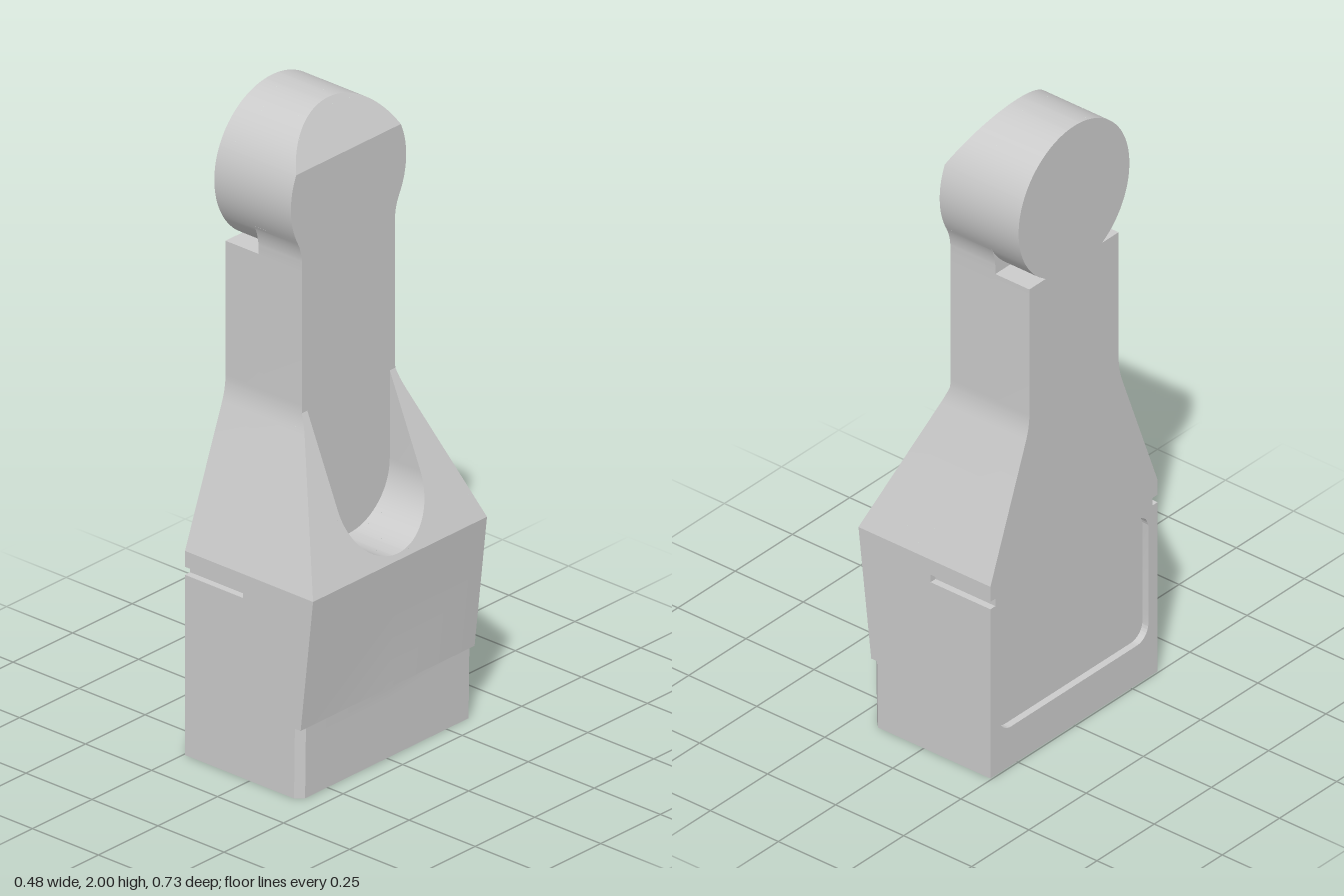
import * as THREE from 'three';
import { toCreasedNormals } from 'three/addons/utils/BufferGeometryUtils.js';

const BACK = -0.245, FACE = 0.045;          // rear plane, neck front plane
const HEAD = { y: 1.758, r: 0.242 };        // round head
const FIL = { y: 1.57, r: 0.157, w: 0.195 };// concave fillet between neck and head
const FIL_END = 1.644;
const CH = { y: 0.83, r: 0.173, top: 1.105 }; // round-bottomed channel
const REC = { y0: 0.13, y1: 0.55, w: 0.325, r: 0.05, depth: 0.022 }; // rear panel

const root = (v) => Math.sqrt(Math.max(0, v));
const inside = (y, a, b) => y > a && y < b;
const headWidth = (y) => root(HEAD.r ** 2 - (y - HEAD.y) ** 2);

// half width of the side outline at a height
function halfWidth(y) {
  if (y < 0.64) return 0.365;
  if (y < 1.05) return 0.365 - 0.378 * (y - 0.64);
  if (y < 1.13) return 0.195 + 2.3625 * (1.13 - y) ** 2;
  if (y < FIL.y) return FIL.w;
  if (y < FIL_END) return FIL.w + FIL.r - root(FIL.r ** 2 - (y - FIL.y) ** 2);
  return headWidth(y);
}

// front surface position at a height
const FRONT = [[0, 0.19], [0.22, 0.193], [0.64, 0.24], [1.105, FACE], [1.86, FACE], [2, -0.032]];
function front(y) {
  for (let i = 1; i < FRONT.length; i++) {
    const [ya, xa] = FRONT[i - 1], [yb, xb] = FRONT[i];
    if (y <= yb) return xa + (xb - xa) * (y - ya) / (yb - ya);
  }
  return -0.032;
}

// closed horizontal section: half ring from rear centre to front centre, then its mirror
function section(y) {
  const w = halfWidth(y), f = front(y);
  const chamfer = y < 0.22 ? 0.022 : 0;

  // side slots and the notches under the head
  let slotX = -0.12, wb = w;
  if (inside(y, 0.565, 0.59)) { slotX = -0.025; wb = w - 0.022; }
  else if (inside(y, 1.55, FIL_END)) wb = Math.min(w, headWidth(y));

  // rear panel with rounded corners
  let panelX = BACK, panelW = 0;
  if (inside(y, REC.y0, REC.y1)) {
    const d = Math.max(0, REC.r - Math.min(y - REC.y0, REC.y1 - y));
    panelX = BACK + REC.depth;
    panelW = REC.w - REC.r + root(REC.r ** 2 - d * d);
  }

  // front channel
  let floorX = f, chW = 0;
  if (inside(y, CH.y - CH.r, CH.top)) {
    floorX = FACE;
    chW = y < CH.y ? root(CH.r ** 2 - (CH.y - y) ** 2) : CH.r;
  }

  const half = [
    [panelX, 0], [panelX, panelW], [BACK, panelW], [BACK, wb], [slotX, wb], [slotX, w],
    [f - chamfer, w], [f, w - chamfer], [f, chW], [floorX, chW], [floorX, 0],
  ];
  return [...half, ...half.slice().reverse().map(([x, z]) => [x, -z])];
}

// heights at which the section changes, with arcs sampled evenly by angle
function heights() {
  const ys = [0, 0.22, 0.565, 0.59, 0.64, CH.top, 1.55, 1.86, 2];
  const arc = (cy, r, a0, a1, n) => {
    for (let i = 0; i <= n; i++) ys.push(cy + r * Math.sin(a0 + (a1 - a0) * i / n));
  };
  const q = Math.PI / 2;
  arc(REC.y0 + REC.r, REC.r, -q, 0, 8);
  arc(REC.y1 - REC.r, REC.r, 0, q, 8);
  arc(CH.y, CH.r, -q, 0, 24);
  arc(FIL.y, FIL.r, 0, Math.asin((FIL_END - FIL.y) / FIL.r), 8);
  arc(HEAD.y, HEAD.r, Math.asin((FIL_END - HEAD.y) / HEAD.r), q, 36);
  for (let i = 0; i <= 6; i++) ys.push(1.05 + 0.08 * i / 6);
  ys.sort((a, b) => a - b);
  return ys.filter((y, i) => i === 0 || y - ys[i - 1] > 1e-5);
}

function bodyGeometry() {
  // two rings per height, just below and just above, so that steps get flat ledges
  const rings = [];
  for (const y of heights()) {
    for (const e of [-1e-6, 1e-6]) {
      const t = THREE.MathUtils.clamp(y + e, 0, 2);
      rings.push(section(t).map(([x, z]) => new THREE.Vector3(x, y, z)));
    }
  }
  const pos = [];
  const tri = (a, b, c) => {
    if (new THREE.Triangle(a, b, c).getArea() < 1e-6) return;
    for (const p of [a, b, c]) pos.push(p.x, p.y, p.z);
  };
  for (let k = 1; k < rings.length; k++) {
    const lo = rings[k - 1], hi = rings[k];
    lo.forEach((a, i) => {
      const j = (i + 1) % lo.length;
      tri(a, lo[j], hi[j]);
      tri(a, hi[j], hi[i]);
    });
  }
  // underside
  const base = rings[0], centre = new THREE.Vector3(0, 0, 0);
  base.forEach((a, i) => tri(centre, base[(i + 1) % base.length], a));

  const geo = new THREE.BufferGeometry();
  geo.setAttribute('position', new THREE.Float32BufferAttribute(pos, 3));
  return toCreasedNormals(geo, 0.1);
}

export function createModel() {
  const group = new THREE.Group();
  group.name = 'model';
  const body = new THREE.Mesh(bodyGeometry(), new THREE.MeshStandardMaterial({ color: 0xcccccc }));
  body.name = 'body';
  group.add(body);
  return group;
}
